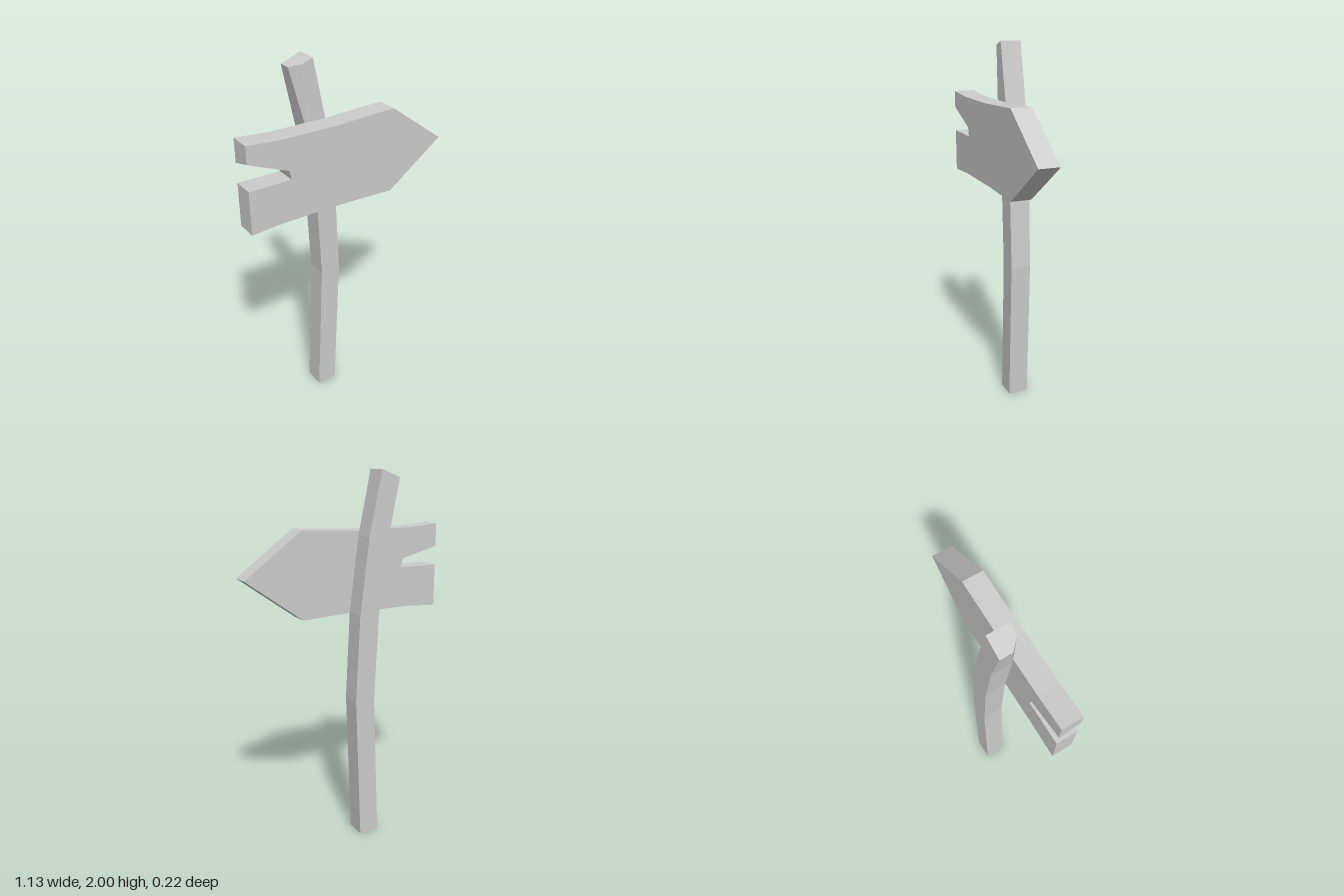
import * as THREE from 'three';

const DEPTH = 0.112;
const wood = new THREE.MeshStandardMaterial({ color: 0xcccccc, flatShading: true, side: THREE.DoubleSide });

// Bent square post, open at the base, with a chamfer that grows towards the top
function createPost() {
  // each ring: left x, left y, right x, right y, chamfer of the front left edge
  const rings = [
    [-0.143, 0, -0.031, 0, 0],
    [-0.111, 0.8, 0.001, 0.8, 0],
    [-0.134, 1.25, -0.022, 1.27, 0],
    [-0.183, 1.65, -0.073, 1.67, 0],
    [-0.247, 1.96, -0.142, 2, 0.048],
  ].map(([lx, ly, rx, ry, c]) => {
    const t = c / (rx - lx);
    return [
      [lx, ly, -DEPTH],
      [lx, ly, -c],
      [lx + c, ly + (ry - ly) * t, 0],
      [rx, ry, 0],
      [rx, ry, -DEPTH],
    ];
  });

  const positions = [];
  const triangle = (...corners) => corners.forEach((p) => positions.push(...p));
  for (let r = 0; r < rings.length - 1; r++) {
    const a = rings[r], b = rings[r + 1];
    for (let i = 0; i < 5; i++) {
      const j = (i + 1) % 5;
      const sharp = i === 1; // no chamfer face until the last section
      if (!sharp) triangle(a[i], a[j], b[j]);
      if (!sharp || r === rings.length - 2) triangle(a[i], b[j], b[i]);
    }
  }
  // slanted top
  const top = rings[rings.length - 1];
  for (let i = 1; i < 4; i++) triangle(top[0], top[i], top[i + 1]);

  const geometry = new THREE.BufferGeometry();
  geometry.setAttribute('position', new THREE.Float32BufferAttribute(positions, 3));
  geometry.computeVertexNormals();
  const post = new THREE.Mesh(geometry, wood);
  post.name = 'post';
  return post;
}

// Arrow board with a split tail
function createBoard() {
  const outline = [
    [-0.565, 1.255], [-0.39, 1.266], [-0.03, 1.266], [0.25, 1.255],
    [0.562, 1.482],
    [0.25, 1.71], [-0.08, 1.695], [-0.39, 1.696], [-0.565, 1.71],
    [-0.565, 1.62], [-0.35, 1.532], [-0.34, 1.484], [-0.565, 1.484],
  ].map(([x, y]) => new THREE.Vector2(x, y));
  const geometry = new THREE.ExtrudeGeometry(new THREE.Shape(outline), { depth: DEPTH, bevelEnabled: false });

  // the underside of the upper prong slopes down towards the back
  const p = geometry.attributes.position;
  for (let i = 0; i < p.count; i++) {
    if (p.getZ(i) < 0.01 && Math.abs(p.getY(i) - 1.62) < 0.001) p.setY(i, 1.587);
  }
  geometry.computeVertexNormals();
  const board = new THREE.Mesh(geometry, wood);
  board.name = 'arrowBoard';
  return board;
}

export function createModel() {
  const signpost = new THREE.Group();
  signpost.name = 'signpost';
  signpost.add(createPost(), createBoard());
  return signpost;
}
